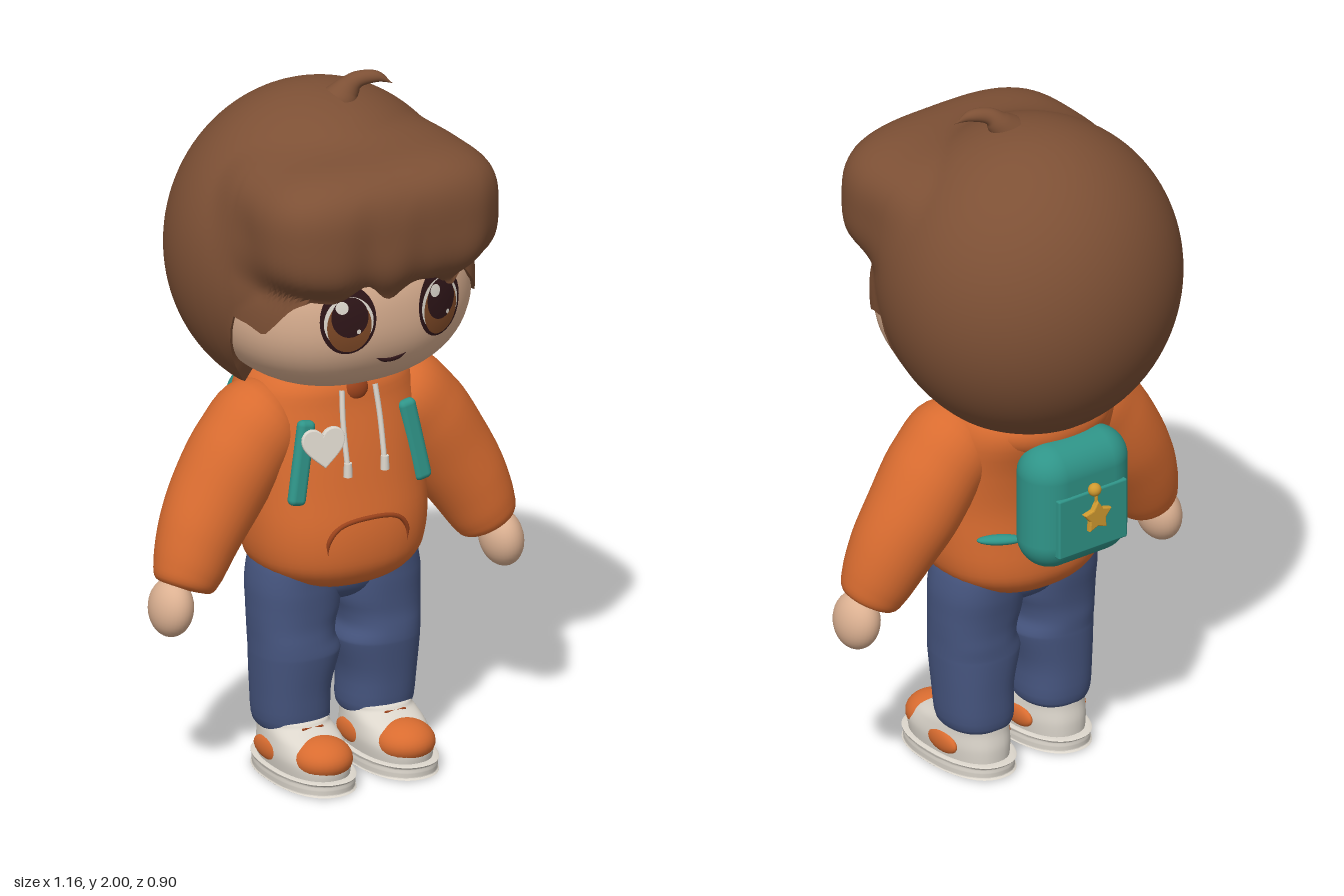
import * as THREE from 'three';
import { mergeVertices, toCreasedNormals } from 'three/addons/utils/BufferGeometryUtils.js';
import { RoundedBoxGeometry } from 'three/addons/geometries/RoundedBoxGeometry.js';

const V = (x, y, z) => new THREE.Vector3(x, y, z);
const colours = {
  hairBrown: 0x7d5035, skin: 0xdcb192, orange: 0xd96c30, teal: 0x2f9488, denim: 0x46557f,
  offWhite: 0xdcd6cc, darkBrown: 0x2e1518, irisBrown: 0x7d4826, gold: 0xd09a30, seamOrange: 0x9c431c,
};

// Closed grid surface: u runs round, v runs along
function grid(nu, nv, fn) {
  const pos = [], idx = [];
  for (let j = 0; j <= nv; j++)
    for (let i = 0; i < nu; i++) pos.push(...fn(i / nu, j / nv).toArray());
  for (let j = 0; j < nv; j++)
    for (let i = 0; i < nu; i++) {
      const k = (i + 1) % nu, a = j * nu + i, b = j * nu + k, c = a + nu, d = b + nu;
      idx.push(a, b, d, a, d, c);
    }
  const g = new THREE.BufferGeometry();
  g.setAttribute('position', new THREE.Float32BufferAttribute(pos, 3));
  g.setIndex(idx);
  const m = mergeVertices(g, 1e-5);
  m.computeVertexNormals();
  return m;
}

// Catmull-Rom sample through rows of numbers
function sample(rows, t) {
  const n = rows.length - 1, i = Math.min(Math.floor(t * n), n - 1), f = t * n - i;
  const [a, b, c, d] = [i - 1, i, i + 1, i + 2].map(k => rows[Math.max(0, Math.min(n, k))]);
  return b.map((p, k) => p + 0.5 * f * (c[k] - a[k] + f * (2 * a[k] - 5 * p + 4 * c[k] - d[k] + f * (3 * (p - c[k]) + d[k] - a[k]))));
}
const pw = (v, e) => Math.sign(v) * Math.abs(v) ** e;

// Stacked superellipse sections; rows are [y, rx, zCentre, rz, xCentre]
const loft = (rows, n = 2.3) => grid(40, 40, (u, v) => {
  const [y, rx, zc, rz, xc = 0] = sample(rows, v), a = u * Math.PI * 2;
  return V(xc + Math.max(rx, 0) * pw(Math.sin(a), 2 / n), y, zc + Math.max(rz, 0) * pw(Math.cos(a), 2 / n));
});
function loftFront(rows, x, y, n = 2.3) {
  let lo = 0, hi = 1;
  for (let k = 0; k < 25; k++) { const m = (lo + hi) / 2; if (sample(rows, m)[0] < y) lo = m; else hi = m; }
  const [, rx, zc, rz] = sample(rows, lo);
  return zc + rz * Math.max(0, 1 - Math.abs(x / rx) ** n) ** (1 / n);
}

// Tube with changing radius
function sweep(points, radii, segs = 32, sides = 24) {
  const curve = new THREE.CatmullRomCurve3(points), fr = curve.computeFrenetFrames(segs);
  return grid(sides, segs, (u, v) => {
    const k = Math.round(v * segs), r = Math.max(0, sample(radii.map(q => [q]), v)[0]), a = u * Math.PI * 2;
    return curve.getPoint(v).addScaledVector(fr.normals[k], r * Math.cos(a)).addScaledVector(fr.binormals[k], r * Math.sin(a));
  });
}

// Head shape
const H = { c: [0, 1.42, 0.03], r: [0.373, 0.28, 0.352], n: 2.3 };
const headNorm = d => d.reduce((q, c, k) => q + Math.abs(c / H.r[k]) ** H.n, 0) ** (1 / H.n);
const faceZ = (x, y) => H.c[2] + H.r[2] * Math.max(0, 1 - Math.abs(x / H.r[0]) ** H.n - Math.abs((y - H.c[1]) / H.r[1]) ** H.n) ** (1 / H.n);
const headGeometry = () => grid(64, 48, (u, v) => {
  const a = u * Math.PI * 2, t = (1 - v) * Math.PI;
  const d = [Math.sin(t) * Math.sin(a), Math.cos(t), Math.sin(t) * Math.cos(a)], s = headNorm(d);
  return V(...d.map((c, k) => H.c[k] + c / s));
});

// Hair: round cap blended with a boxy fringe, trimmed at a hairline and kept outside the head
const hairline = [[0, 88], [36, 91], [47, 99], [55, 107], [62, 104], [70, 103], [75, 118], [83, 136], [90, 144], [180, 148]];
function hairGeometry() {
  const field = p => {
    const f1 = Math.hypot(p.x / 0.425, (p.y - 1.5) / 0.45, (p.z + 0.06) / (p.z > -0.06 ? 0.447 : 0.39)) - 1;
    const f2 = (Math.abs(p.x / 0.365) ** 3.2 + Math.abs((p.y - 1.67) / 0.19) ** 3.2 + Math.abs((p.z - 0.2) / 0.25) ** 3.2) ** (1 / 3.2) - 1;
    const f3 = headNorm(p.toArray().map((c, k) => c - H.c[k])) - 1.025;
    const k = 0.14, h = Math.max(k - Math.abs(f1 - f2), 0) / k;
    return Math.min(f1 - h * h * k / 4, f2 - h * h * k / 4, f3);
  };
  const nv = 50;
  const g = grid(160, nv, (u, v) => {
    const az = u * Math.PI * 2, deg = Math.abs(u > 0.5 ? u - 1 : u) * 360;
    const i = Math.max(1, hairline.findIndex(h => h[0] >= deg)), [a0, l0] = hairline[i - 1], [a1, l1] = hairline[i];
    const wave = Math.max(0, 1 - (deg / 48) ** 4) * (Math.cos(az * 13 + 0.6) + 0.4 * Math.cos(az * 21 + 2));
    const limit = (l0 + (l1 - l0) * (deg - a0) / (a1 - a0) + 3.3 * wave) * Math.PI / 180;
    const w = Math.min(1, (1 - v) * nv / (nv - 1)), t = w * limit;
    const d = V(Math.sin(t) * Math.sin(az), Math.cos(t), Math.sin(t) * Math.cos(az));
    let lo = 0.1, hi = 0.9;
    for (let k = 0; k < 22; k++) {
      const m = (lo + hi) / 2;
      if (field(V(0, 1.5, 0).addScaledVector(d, m)) < 0) lo = m; else hi = m;
    }
    // the first ring folds inward to close the rim
    const r = v === 0 ? lo * 0.55 : lo * (1 + 0.02 * wave * Math.max(0, (w - 0.65) / 0.35));
    return V(0, 1.5, 0).addScaledVector(d, r);
  });
  return toCreasedNormals(g, 0.9);
}

export function createModel() {
  const model = new THREE.Group(), M = {};
  for (const [name, color] of Object.entries(colours)) {
    M[name] = new THREE.MeshStandardMaterial({ color });
    M[name].name = name;
  }
  const add = (name, mat, geo, p = [0, 0, 0], rot = [0, 0, 0]) => {
    const m = new THREE.Mesh(geo, M[mat]);
    m.name = name; m.position.set(...p); m.rotation.set(...rot);
    model.add(m);
    return m;
  };
  const ball = (name, mat, p, s, rot) => add(name, mat, new THREE.SphereGeometry(1, 32, 20), p, rot).scale.set(...s);

  // Head and hair
  add('head', 'skin', headGeometry());
  add('hair', 'hairBrown', hairGeometry());
  add('hairTuft', 'hairBrown', sweep([V(0.035, 1.925, 0.015), V(0.06, 1.955, 0.018), V(0.085, 1.978, 0.03), V(0.13, 1.983, 0.05), V(0.17, 1.962, 0.07)],
    [0.05, 0.034, 0.023, 0.016, 0]));

  // Face details laid on the head surface
  const decal = (name, mat, cx, cy, rx, ry, off) => {
    const g = new THREE.RingGeometry(0, 1, 36, 6), p = g.attributes.position;
    for (let i = 0; i < p.count; i++) {
      const x = cx + p.getX(i) * rx, y = cy + p.getY(i) * ry;
      p.setXYZ(i, x, y, faceZ(x, y) + off);
    }
    g.computeVertexNormals();
    add(name, mat, g);
  };
  for (const s of [-1, 1]) {
    const x = 0.143 * s;
    decal('eyeOutline', 'darkBrown', x, 1.43, 0.076, 0.1, 0.011);
    decal('eyeWhite', 'offWhite', x, 1.425, 0.067, 0.075, 0.013);
    decal('iris', 'irisBrown', x, 1.415, 0.06, 0.077, 0.015);
    decal('pupil', 'darkBrown', x, 1.442, 0.05, 0.058, 0.017);
    decal('eyeGlint', 'offWhite', x - 0.022, 1.472, 0.017, 0.018, 0.019);
    decal('eyeSparkle', 'offWhite', x + 0.022, 1.4, 0.006, 0.007, 0.019);
  }
  const mouth = [-0.048, -0.025, 0, 0.025, 0.048].map(x => [x, 1.283 + 6 * x * x]);
  add('mouth', 'darkBrown', sweep(mouth.map(([x, y]) => V(x, y, faceZ(x, y))), [0, 0.006, 0.007, 0.006, 0], 20, 8));

  // Hoodie
  const torso = [[0.54, 0, 0.02, 0], [0.546, 0.09, 0.025, 0.1], [0.572, 0.18, 0.028, 0.165], [0.615, 0.235, 0.03, 0.2], [0.67, 0.256, 0.033, 0.21], [0.75, 0.263, 0.035, 0.207],
    [0.85, 0.262, 0.028, 0.197], [0.97, 0.262, 0.007, 0.197], [1.08, 0.255, -0.022, 0.202], [1.15, 0.22, -0.015, 0.18], [1.2, 0.12, 0, 0.11], [1.21, 0, 0, 0]];
  add('hoodieBody', 'orange', loft(torso));
  ball('hood', 'orange', [0, 1.09, -0.12], [0.2, 0.1, 0.125]);
  const onTorso = (pts, off = 0) => pts.map(([x, y]) => V(x, y, loftFront(torso, x, y) + off));
  add('pocketSeam', 'seamOrange', sweep(onTorso([[-0.125, 0.68], [-0.122, 0.725], [-0.09, 0.762], [0, 0.777], [0.09, 0.762], [0.122, 0.725], [0.125, 0.68]]),
    [0, 0.007, 0.007, 0.007, 0.007, 0.007, 0], 48, 8));
  add('collarNotch', 'seamOrange', new THREE.SphereGeometry(1, 20, 14), [0, 1.13, 0.16]).scale.set(0.038, 0.035, 0.022);
  for (const s of [-1, 1]) {
    const x = 0.058 * s;
    const cord = onTorso([[x * 0.9, 1.14], [x, 1.05], [x, 0.92]], 0.008);
    add('drawcord', 'offWhite', new THREE.TubeGeometry(new THREE.CatmullRomCurve3(cord), 16, 0.008, 8));
    add('cordTip', 'offWhite', new THREE.CylinderGeometry(0.011, 0.013, 0.04, 12), [x, 0.922, cord[2].z]);
  }
  const heart = new THREE.Shape();
  heart.moveTo(0, -0.055);
  heart.bezierCurveTo(-0.03, -0.028, -0.06, -0.005, -0.058, 0.022);
  heart.bezierCurveTo(-0.055, 0.058, -0.01, 0.055, 0, 0.026);
  heart.bezierCurveTo(0.01, 0.055, 0.055, 0.058, 0.058, 0.022);
  heart.bezierCurveTo(0.06, -0.005, 0.03, -0.028, 0, -0.055);
  add('heartBadge', 'offWhite', new THREE.ExtrudeGeometry(heart, { depth: 0.012, bevelSize: 0.004, bevelThickness: 0.004, bevelSegments: 2 }),
    [-0.122, 0.995, loftFront(torso, -0.122, 0.995) + 0.008], [-0.15, -0.2, 0]);

  for (const s of [-1, 1]) {
    // Sleeve and hand
    add('sleeve', 'orange', sweep([V(0.11 * s, 1.08, 0.005), V(0.19 * s, 1.05, 0.01), V(0.28 * s, 0.96, 0.015), V(0.36 * s, 0.84, 0.018), V(0.425 * s, 0.735, 0.032), V(0.465 * s, 0.65, 0.045), V(0.482 * s, 0.605, 0.05), V(0.486 * s, 0.597, 0.05)],
      [0, 0.12, 0.135, 0.13, 0.116, 0.099, 0.075, 0], 40, 32));
    ball('hand', 'skin', [0.52 * s, 0.553, 0.052], [0.058, 0.083, 0.077], [0, 0, 0.12 * s]);

    // Backpack straps
    const strap = onTorso([[0.155 * s, 1.07], [0.178 * s, 0.95], [0.2 * s, 0.835]], 0.004);
    const d = strap[2].clone().sub(strap[0]);
    const m = add('shoulderStrap', 'teal', new RoundedBoxGeometry(0.052, d.length(), 0.034, 4, 0.016), strap[1].toArray());
    m.quaternion.setFromUnitVectors(V(0, -1, 0), d.normalize());
    ball('lowerStrap', 'teal', [0.175 * s, 0.77, -0.143], [0.02, 0.014, 0.065], [0, 1.0 * s, 0]);

    // Trouser leg, rows are [y, inner x, outer x, zCentre, rz]
    const leg = [[0.12, 0.1, 0.16, 0.03, 0], [0.125, 0.06, 0.2, 0.03, 0.08], [0.15, 0.03, 0.232, 0.03, 0.105], [0.25, 0.028, 0.242, 0.034, 0.112], [0.34, 0.006, 0.248, 0.039, 0.12],
      [0.365, 0.004, 0.249, 0.04, 0.121], [0.4, 0.018, 0.25, 0.038, 0.12], [0.44, 0.014, 0.252, 0.036, 0.118], [0.49, 0, 0.253, 0.034, 0.122], [0.57, 0, 0.25, 0.03, 0.13], [0.65, 0.02, 0.22, 0.03, 0.12], [0.68, 0.13, 0.13, 0.03, 0]];
    add('trouserLeg', 'denim', loft(leg.map(([y, a, b, zc, rz]) => [y, (b - a) / 2, zc, rz, s * (a + b) / 2])));

    // Shoe
    const sx = 0.13 * s, shoe = rows => loft(rows.map(r => [...r, sx]));
    add('shoeSole', 'offWhite', toCreasedNormals(shoe([[0.002, 0, 0.1, 0], [0.002, 0.1, 0.1, 0.185], [0.008, 0.108, 0.1, 0.194], [0.032, 0.108, 0.1, 0.194], [0.042, 0.1, 0.1, 0.186], [0.042, 0, 0.1, 0]]), 0.7));
    add('shoeUpper', 'offWhite', shoe([[0.035, 0.095, 0.1, 0.178], [0.08, 0.1, 0.1, 0.178], [0.12, 0.096, 0.08, 0.152], [0.15, 0.09, 0.046, 0.115], [0.17, 0.082, 0.035, 0.098], [0.175, 0, 0.035, 0]]));
    ball('toeCap', 'orange', [sx, 0.085, 0.2], [0.084, 0.058, 0.09]);
    for (const e of [-1, 1]) ball('sidePatch', 'orange', [sx + 0.088 * e, 0.082, 0.065], [0.018, 0.034, 0.072], [0, -0.06 * e, 0]);
    add('shoeLace', 'seamOrange', new THREE.CapsuleGeometry(0.004, 0.06, 4, 8), [sx, 0.153, 0.15], [0, 0, Math.PI / 2]);

    // Wedge-shaped tread patches under the sole
    for (let i = 0; i < 9; i++)
      add('soleTread', 'seamOrange', new THREE.CircleGeometry(1, 4, i * Math.PI * 2 / 9, s < 0 ? 0.48 : 0.16), [sx, 0, 0.1], [Math.PI / 2, 0, 0]).scale.set(0.095, 0.178, 1);
  }
  ball('trouserSeat', 'denim', [0, 0.57, 0.03], [0.2, 0.09, 0.122]);

  // Backpack
  add('backpack', 'teal', new RoundedBoxGeometry(0.335, 0.37, 0.178, 10, 0.088), [0, 0.892, -0.237]);
  add('backpackPocket', 'teal', new RoundedBoxGeometry(0.235, 0.18, 0.03, 4, 0.006), [0, 0.855, -0.318]);
  ball('backpackButton', 'gold', [0, 0.95, -0.338], [0.019, 0.019, 0.018]);
  const star = new THREE.Shape(Array.from({ length: 10 }, (_, i) => {
    const r = i % 2 ? 0.024 : 0.043, a = i * Math.PI / 5;
    return new THREE.Vector2(r * Math.sin(a), r * Math.cos(a));
  }));
  add('starCharm', 'gold', new THREE.ExtrudeGeometry(star, { depth: 0.01, bevelSize: 0.004, bevelThickness: 0.004, bevelSegments: 2 }), [0, 0.873, -0.352]);
  add('charmLoop', 'gold', new THREE.CylinderGeometry(0.005, 0.005, 0.04, 8), [0, 0.928, -0.345]);

  return model;
}
